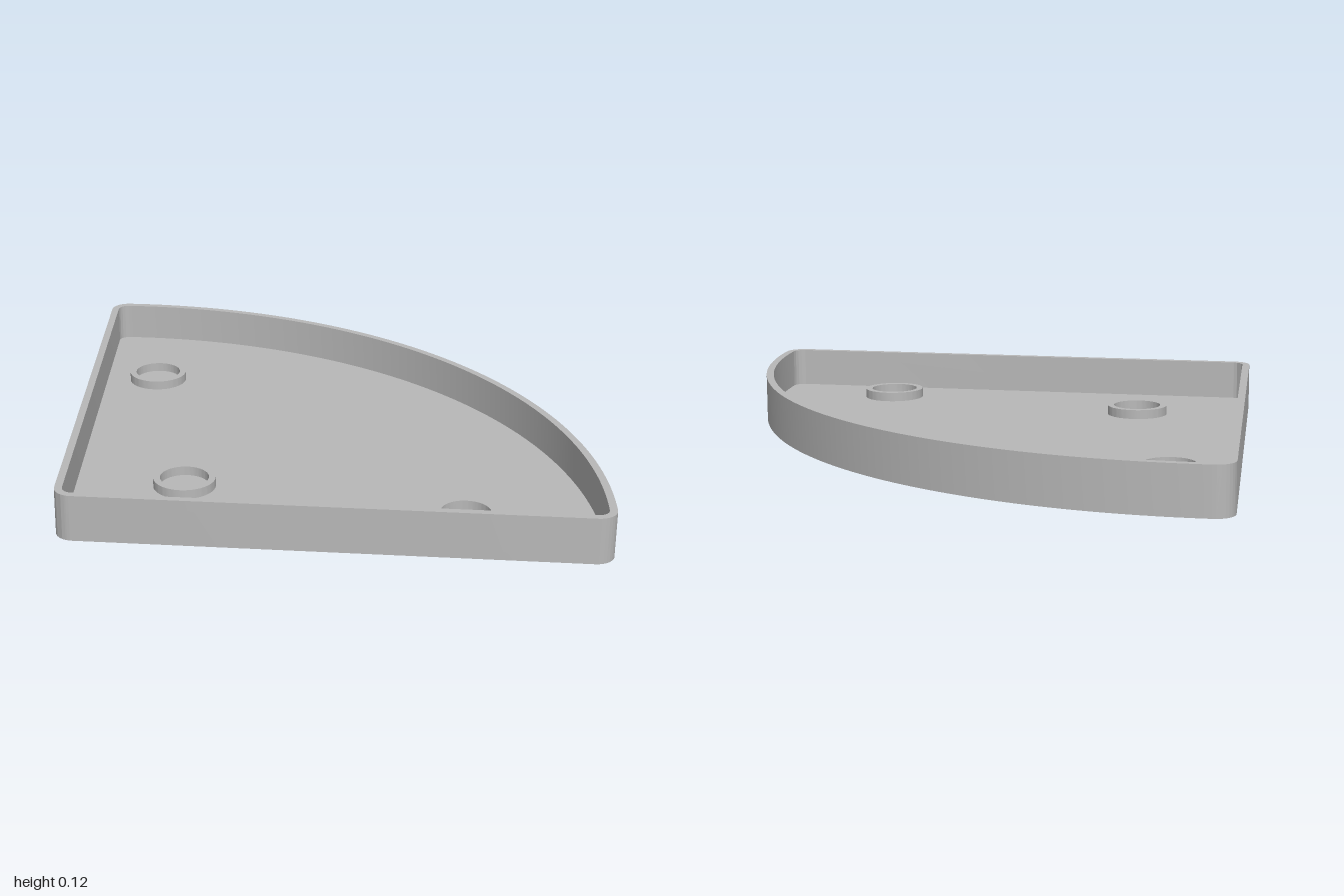
import * as THREE from 'three';
import { toCreasedNormals } from 'three/addons/utils/BufferGeometryUtils.js';

const HEIGHT = 0.125, FLOOR = 0.02;

// Rounded sector: a skeleton of three corner centres, grown outward by r
function sector(r, Type = THREE.Shape) {
  const apex = -0.646, cornerX = 0.25, cornerZ = 0.95, arcX = -0.69;
  const a = Math.atan2(cornerZ, cornerX - arcX);
  const n = Math.PI / 2 + Math.atan2(cornerZ, cornerX - apex);
  const radius = Math.hypot(cornerX - arcX, cornerZ) + r;
  const s = new Type();
  s.absarc(arcX, 0, radius, -a, a, false);
  s.absarc(cornerX, cornerZ, r, a, n, false);
  s.absarc(apex, 0, r, n, 2 * Math.PI - n, false);
  s.absarc(cornerX, -cornerZ, r, -n, -a, false);
  s.closePath();
  return s;
}

// Extrude a plan shape upward, smooth on the curves and sharp at the rims
function raise(shape, depth) {
  const g = new THREE.ExtrudeGeometry(shape, { depth, bevelEnabled: false, curveSegments: 40 });
  g.rotateX(-Math.PI / 2);
  return toCreasedNormals(g, 0.6);
}

export function createModel() {
  const group = new THREE.Group();
  const grey = new THREE.MeshStandardMaterial({ color: 0xb8b8b8 });
  grey.name = 'grey';

  const add = (name, geometry, x = 0, y = 0, z = 0) => {
    const mesh = new THREE.Mesh(geometry, grey);
    mesh.name = name;
    mesh.position.set(x, y, z);
    group.add(mesh);
  };

  // Base plate
  add('floor', raise(sector(0.03), FLOOR));

  // Thin wall around the edge
  const rim = sector(0.05);
  rim.holes.push(sector(0.03, THREE.Path));
  add('wall', raise(rim, HEIGHT));

  // Three low rings on the floor
  const ring = new THREE.Shape().absarc(0, 0, 0.083, 0, Math.PI * 2, false);
  ring.holes.push(new THREE.Path().absarc(0, 0, 0.065, 0, Math.PI * 2, false));
  const ringGeometry = raise(ring, 0.025);
  [[-0.29, 0], [0.12, -0.635], [0.12, 0.635]].forEach(([x, z], i) =>
    add('ring' + (i + 1), ringGeometry, x, FLOOR, z));

  return group;
}
